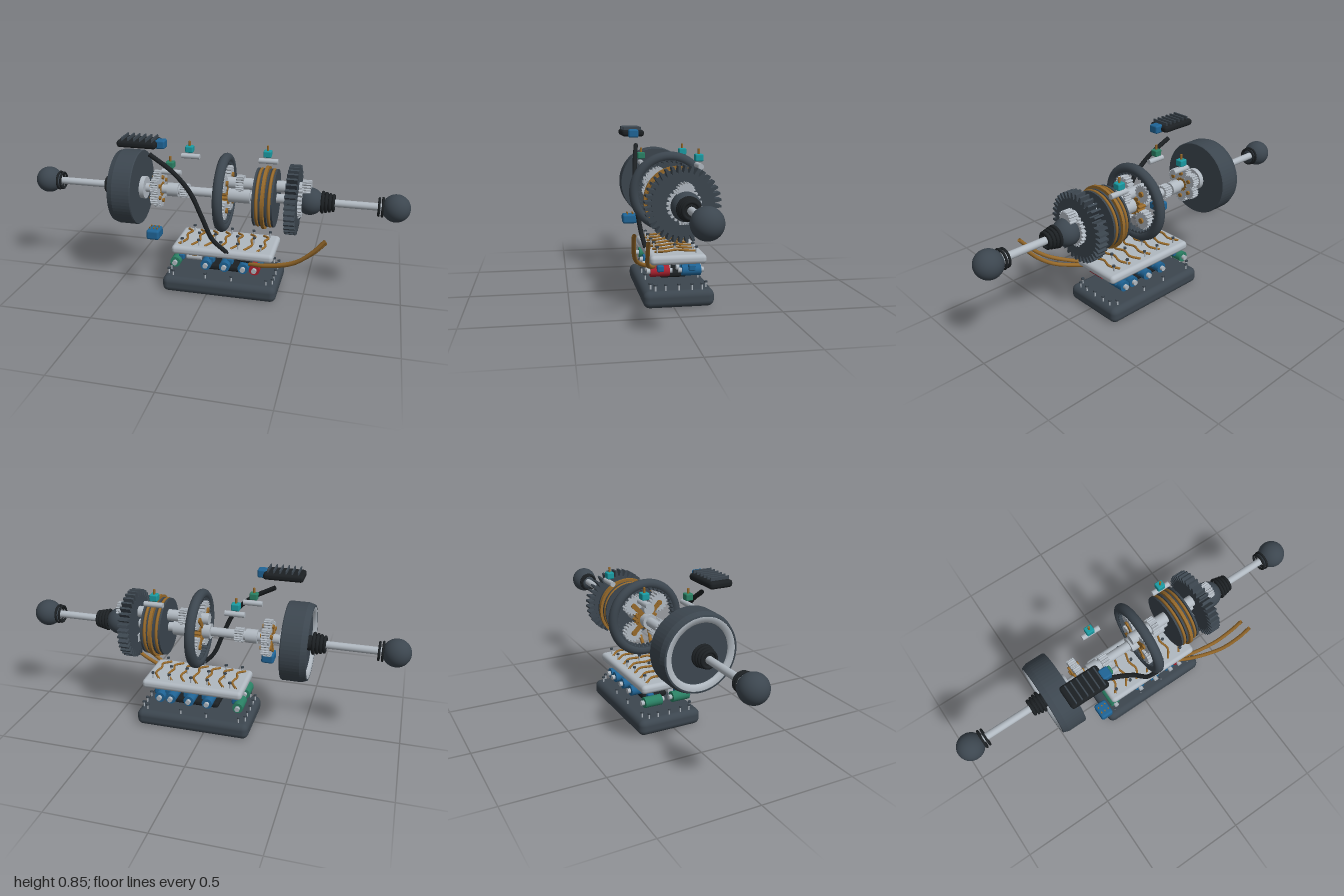
import * as THREE from 'three';
import { RoundedBoxGeometry } from 'three/addons/geometries/RoundedBoxGeometry.js';

const paint = (color) => new THREE.MeshStandardMaterial({ color, side: THREE.DoubleSide });
const DARK = paint(0x3c464f), BLACK = paint(0x1c2023), SILVER = paint(0xb0b8c0), GOLD = paint(0x96692a);
const BLUE = paint(0x1f6496), TEAL = paint(0x1a9aa2), RED = paint(0xa8202e), GREEN = paint(0x2a8064);
const AY = 0.52, AZ = -0.025; // main axis

export function createModel() {
  const root = new THREE.Group();
  const add = (name, geo, mat, x = 0, y = 0, z = 0, parent = root) => {
    const m = new THREE.Mesh(geo, mat);
    m.name = name;
    m.position.set(x, y, z);
    parent.add(m);
    return m;
  };
  const box = (name, mat, w, h, d, x, y, z, r = 0.008) =>
    add(name, new RoundedBoxGeometry(w, h, d, 3, r), mat, x, y, z);
  // cylinder running along x from x0 to x1
  const rod = (name, mat, r, x0, x1, y = AY, z = AZ, seg = 32) =>
    add(name, new THREE.CylinderGeometry(r, r, x1 - x0, seg).rotateZ(-Math.PI / 2), mat, (x0 + x1) / 2, y, z);
  // turned part around the main axis, profile as [radius, x]
  const turned = (name, mat, pts) => add(name,
    new THREE.LatheGeometry(pts.map(([r, x]) => new THREE.Vector2(r, x)), 64).rotateZ(-Math.PI / 2).toNonIndexed(),
    mat, 0, AY, AZ);
  const ringX = (name, mat, R, t, x, y = AY) =>
    add(name, new THREE.TorusGeometry(R, t, 12, 64).rotateY(Math.PI / 2), mat, x, y, AZ);
  const tube = (name, mat, r, pts) => add(name,
    new THREE.TubeGeometry(new THREE.CatmullRomCurve3(pts.map((p) => new THREE.Vector3(...p))), 40, r, 10), mat);

  const toothed = (Ctor, n, outer, inner) => {
    const s = new Ctor();
    for (let i = 0; i < n; i++) {
      [[0, inner], [0.22, inner], [0.45, outer], [0.77, outer]].forEach(([f, r], k) => {
        const a = ((i + f) / n) * Math.PI * 2;
        s[i + k ? 'lineTo' : 'moveTo'](Math.cos(a) * r, Math.sin(a) * r);
      });
    }
    s.closePath();
    return s;
  };
  const extrudeX = (shape, w) => new THREE.ExtrudeGeometry(shape, { depth: w, bevelEnabled: false, curveSegments: 32 })
    .translate(0, 0, -w / 2).rotateY(Math.PI / 2);
  const gear = (name, mat, n, outer, depth, w, x, y = AY, z = AZ) =>
    add(name, extrudeX(toothed(THREE.Shape, n, outer, outer - depth), w), mat, x, y, z);

  // half shafts with ball joints, clamp rings and boots
  for (const s of [-1, 1]) {
    add('ballJoint', new THREE.SphereGeometry(0.07, 32, 24), DARK, s * 0.93, AY, AZ);
    ringX('ballClamp', BLACK, 0.046, 0.006, s * 0.865);
    ringX('ballClamp', BLACK, 0.043, 0.006, s * 0.847);
    const [a, b] = s < 0 ? [-0.9, -0.4] : [0.45, 0.9];
    rod('halfShaft', SILVER, 0.019, a, b);
    const start = s < 0 ? 0.53 : 0.57;
    for (let i = 0; i < 4; i++) ringX('boot', BLACK, 0.05 - i * 0.004, 0.008, s * (start + i * 0.018));
    rod('bootCore', BLACK, 0.038, s < 0 ? -0.585 : 0.56, s < 0 ? -0.5 : 0.625);
  }
  add('jointHousing', new THREE.SphereGeometry(0.07, 32, 24), DARK, 0.505, AY, AZ);

  // converter drum with an inset pale rim
  turned('drum', DARK, [[0, -0.39], [0.197, -0.39], [0.2, -0.395], [0.2, -0.49], [0.19, -0.518], [0.182, -0.52],
    [0.18, -0.505], [0.148, -0.5], [0, -0.5]]).geometry.computeVertexNormals();
  turned('drumRim', SILVER, [[0.182, -0.515], [0.18, -0.519], [0.153, -0.515], [0.15, -0.495]]);
  rod('drumFlange', SILVER, 0.06, -0.39, -0.365);

  // main shaft, collars and layshaft
  rod('mainShaft', SILVER, 0.024, -0.4, 0.46);
  rod('collar', SILVER, 0.036, -0.245, -0.185);
  gear('splinedCollar', SILVER, 16, 0.038, 0.006, 0.045, -0.15);
  rod('hub', SILVER, 0.04, 0, 0.2);
  rod('layshaft', SILVER, 0.03, 0.01, 0.48, 0.586);
  gear('layshaftGear', SILVER, 18, 0.044, 0.008, 0.04, 0.147, 0.586);
  gear('layshaftGear', SILVER, 18, 0.044, 0.008, 0.045, 0.487, 0.586);

  // planetary sets: gold sun and carrier arms, pale planets
  const planetary = (x, y, sunR, planetR, dist, count, w) => {
    gear('sunGear', GOLD, 14, sunR, sunR * 0.2, w * 1.1, x, y);
    for (let i = 0; i < count; i++) {
      const a = ((i + 0.5) / count) * Math.PI * 2;
      const py = y + Math.sin(a) * dist, pz = AZ + Math.cos(a) * dist;
      gear('planetGear', SILVER, 16, planetR, planetR * 0.18, w, x, py, pz);
      rod('planetPin', GOLD, planetR * 0.28, x - w * 0.75, x + w * 0.75, py, pz, 16);
      const arm = add('carrierArm', new THREE.BoxGeometry(w * 0.15, planetR * 0.5, dist), GOLD,
        x - w * 0.6, (y + py) / 2, (AZ + pz) / 2);
      arm.rotation.x = -a;
    }
  };
  planetary(-0.298, AY, 0.04, 0.038, 0.064, 6, 0.04);
  planetary(0.065, 0.53, 0.062, 0.05, 0.104, 4, 0.04);

  // ring gear with rounded rim and inner teeth
  ringX('ringGearRim', DARK, 0.181, 0.026, 0.063, 0.528);
  const ringShape = new THREE.Shape().absarc(0, 0, 0.18, 0, Math.PI * 2);
  ringShape.holes.push(toothed(THREE.Path, 40, 0.16, 0.15));
  add('ringGearTeeth', extrudeX(ringShape, 0.036), DARK, 0.063, 0.528, AZ);

  // clutch pack: alternating plates
  for (let i = 0; i < 7; i++) {
    const x = 0.235 + i * 0.016;
    if (i % 2) ringX('frictionRing', GOLD, 0.146, 0.007, x);
    rod('clutchPlate', i % 2 ? GOLD : DARK, i % 2 ? 0.146 : 0.15, x - 0.005, x + 0.005, AY, AZ, 48);
  }
  const band = new THREE.Shape().absarc(0, 0, 0.163, 0, Math.PI * 2);
  band.holes.push(new THREE.Path().absarc(0, 0, 0.14, 0, Math.PI * 2));
  add('clutchBand', extrudeX(band, 0.016), GOLD, 0.283, AY, AZ);

  // final drive: crown gear, side gear, upright pinion
  gear('crownGear', DARK, 36, 0.18, 0.032, 0.055, 0.422);
  gear('sideGear', SILVER, 22, 0.083, 0.012, 0.022, 0.46);
  gear('pinionGear', SILVER, 20, 0.045, 0.007, 0.042, 0.415, 0.448).rotation.z = Math.PI / 2;
  rod('crownHub', DARK, 0.055, 0.45, 0.52);

  // bolts: shank and head standing on a surface
  const bolt = (x, y, z, h) => {
    const g = new THREE.Group();
    g.name = 'bolt';
    g.position.set(x, y, z);
    add('shank', new THREE.CylinderGeometry(0.004, 0.004, h, 10), SILVER, 0, h / 2, 0, g);
    add('head', new THREE.CylinderGeometry(0.009, 0.009, 0.008, 6), DARK, 0, h, 0, g);
    root.add(g);
  };

  // oil pan and filter
  box('oilPan', DARK, 0.61, 0.086, 0.35, 0.065, 0.043, -0.025, 0.032);
  for (const x of [-0.185, -0.01, 0.13, 0.315]) for (const z of [0.11, -0.165]) bolt(x, 0.08, z, 0.034);
  for (const x of [-0.215, 0.345]) for (const z of [0.09, 0.04, -0.025, -0.09, -0.14]) bolt(x, 0.075, z, 0.039);
  box('oilFilter', BLACK, 0.245, 0.034, 0.14, 0.067, 0.123, -0.025, 0.014);

  // valve body with curved channels
  box('valveBody', SILVER, 0.54, 0.047, 0.28, 0.075, 0.232, -0.025, 0.02);
  for (let i = 0; i < 7; i++) {
    const x = -0.14 + i * 0.07;
    tube('valveChannel', GOLD, 0.006, [[x - 0.02, 0.259, 0.08], [x + 0.012, 0.268, 0.03], [x, 0.272, -0.025],
      [x + 0.012, 0.268, -0.08], [x - 0.02, 0.259, -0.127]]);
    bolt(x - 0.005, 0.25, [0.07, -0.025, -0.12][i % 3], 0.036);
    bolt(x + 0.015, 0.25, [-0.12, 0.07, -0.025][i % 3], 0.036);
  }

  // solenoids in two rows, each with a connector
  const solenoid = (mat, x, z) => {
    const along = (name, m, r, len) =>
      add(name, new THREE.CylinderGeometry(r, r, len, 24).rotateX(Math.PI / 2), m, x, 0.16, z);
    along('solenoid', mat, 0.028, 0.095);
    along('solenoidCore', SILVER, 0.013, 0.128);
    box('solenoidPlug', BLUE, 0.03, 0.032, 0.035, x + 0.025, 0.178, z, 0.007);
  };
  for (const [x, front, back] of [[-0.175, GREEN, GREEN], [-0.01, BLUE, BLUE], [0.09, BLUE, BLUE], [0.19, BLUE, BLUE],
    [0.25, RED, BLUE]]) {
    solenoid(front, x, 0.055);
    solenoid(back, x, -0.103);
  }
  rod('accumulator', SILVER, 0.018, -0.13, -0.05, 0.17, 0.03);
  add('accumulatorCap', new THREE.CylinderGeometry(0.022, 0.022, 0.03, 20), GOLD, -0.085, 0.197, 0.03);

  // filler tube and cooler lines
  tube('fillerTube', BLACK, 0.012, [[-0.3, 0.745, 0.1], [-0.17, 0.665, 0.122], [-0.08, 0.57, 0.135], [-0.02, 0.44, 0.132],
    [0.03, 0.32, 0.118], [0.1, 0.25, 0.105]]);
  tube('drainHose', BLACK, 0.009, [[0.1, 0.25, 0.105], [0.16, 0.215, 0.1], [0.23, 0.19, 0.07]]);
  tube('coolerLine', GOLD, 0.01, [[0.22, 0.182, 0.08], [0.32, 0.21, 0.14], [0.46, 0.27, 0.2], [0.55, 0.345, 0.22],
    [0.61, 0.415, 0.225]]);
  tube('coolerLine', GOLD, 0.01, [[0.22, 0.178, 0.07], [0.32, 0.2, 0.11], [0.46, 0.25, 0.145], [0.55, 0.315, 0.157],
    [0.61, 0.38, 0.162]]);

  // finned control unit and plug
  box('controlUnit', BLACK, 0.205, 0.036, 0.122, -0.343, 0.812, 0.121, 0.015);
  for (let i = 0; i < 6; i++) box('coolingFin', DARK, 0.007, 0.03, 0.1, -0.417 + i * 0.031, 0.831, 0.124, 0.002);
  box('controlPlug', BLUE, 0.05, 0.044, 0.054, -0.23, 0.812, 0.123, 0.009);

  // electrical connector with pins
  box('connector', BLUE, 0.068, 0.052, 0.084, -0.272, 0.336, 0.141, 0.012);
  for (let i = 0; i < 6; i++) {
    add('connectorPin', new THREE.CylinderGeometry(0.004, 0.004, 0.014, 8), GOLD,
      -0.292 + (i % 3) * 0.02, 0.364, 0.125 + (i > 2 ? 0.03 : 0));
  }

  // speed sensors
  for (const [x, y, z, mat] of [[-0.155, 0.677, -0.135, TEAL], [0.265, 0.68, -0.135, TEAL], [-0.195, 0.655, 0.085, GREEN]]) {
    rod('sensorBody', SILVER, 0.014, x - 0.045, x + 0.055, y, z, 20);
    box('sensorPlug', mat, 0.042, 0.035, 0.04, x, y + 0.04, z, 0.006);
    add('sensorPin', new THREE.CylinderGeometry(0.006, 0.006, 0.03, 10), GOLD, x, y + 0.068, z);
  }
  return root;
}
